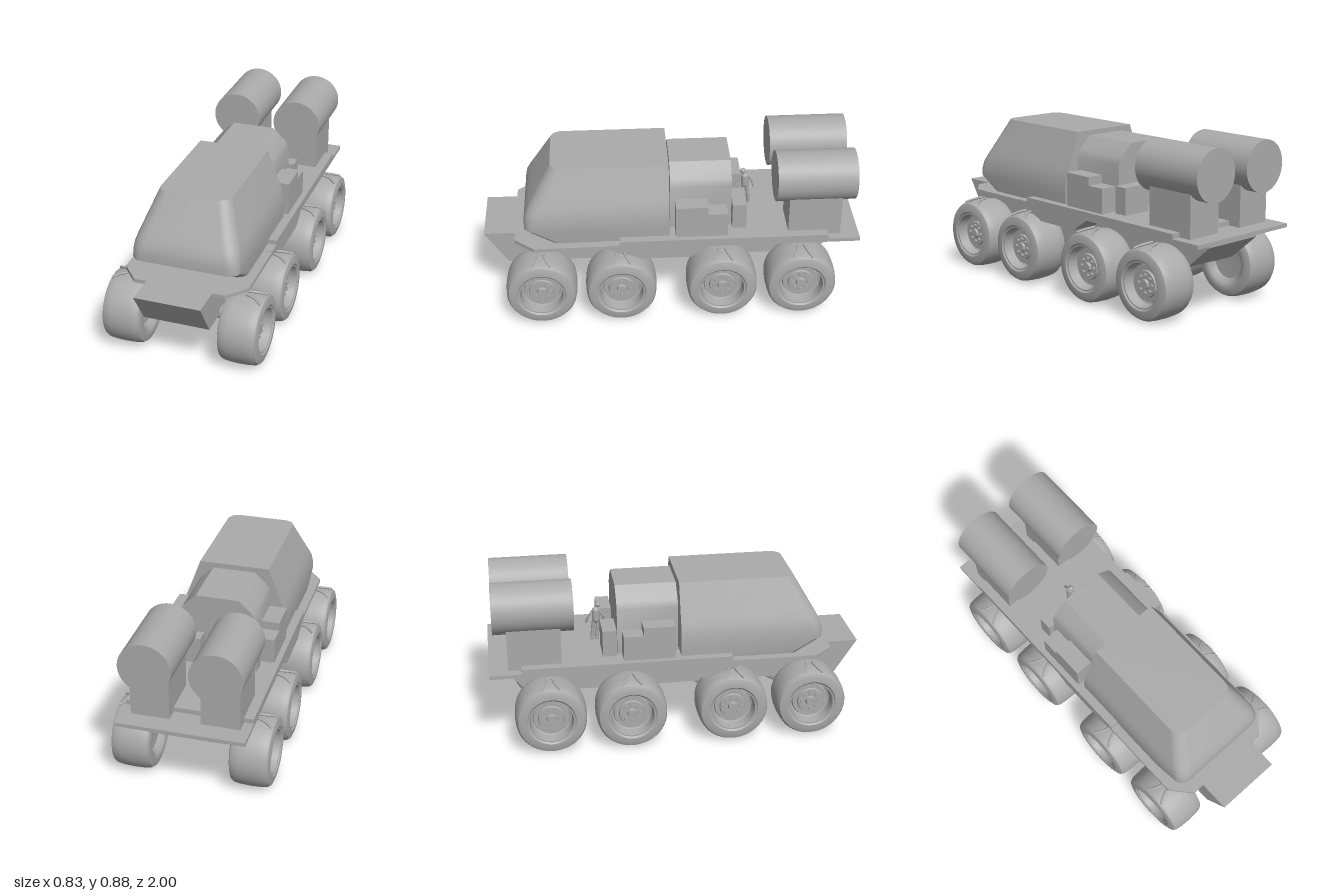
import * as THREE from 'three';
import { toCreasedNormals } from 'three/addons/utils/BufferGeometryUtils.js';

const grey = new THREE.MeshStandardMaterial({ color: 0xaaaaaa });
grey.name = 'hull grey';

export function createModel() {
  const model = new THREE.Group();
  model.name = 'eightWheeledRover';

  const add = (name, geometry, x = 0, y = 0, z = 0, parent = model) => {
    const mesh = new THREE.Mesh(geometry, grey);
    mesh.name = name;
    mesh.position.set(x, y, z);
    parent.add(mesh);
    return mesh;
  };
  // Box from its limits
  const box = (name, x0, x1, y0, y1, z0, z1) =>
    add(name, new THREE.BoxGeometry(x1 - x0, y1 - y0, z1 - z0), (x0 + x1) / 2, (y0 + y1) / 2, (z0 + z1) / 2);
  const extrude = (points, depth) => new THREE.ExtrudeGeometry(
    new THREE.Shape(points.map(p => new THREE.Vector2(...p))), { depth, bevelEnabled: false });
  // Side outline [z, y] extruded across the width
  const prismX = (name, points, half) =>
    add(name, extrude(points, 2 * half).rotateY(-Math.PI / 2).translate(half, 0, 0));
  const rod = (name, points, radius, parent = model) =>
    add(name, new THREE.TubeGeometry(new THREE.CatmullRomCurve3(points.map(p => new THREE.Vector3(...p))), 8, radius, 8), 0, 0, 0, parent);

  // Chassis with wedge bumper and sloping tail
  prismX('chassis', [[1, 0.445], [0.88, 0.26], [-0.78, 0.26], [-0.93, 0.39], [-0.93, 0.43], [0.82, 0.43], [0.83, 0.445]], 0.175);
  prismX('droppedFloor', [[0.36, 0.43], [0.19, 0.355], [-0.1, 0.355], [-0.21, 0.43], [-0.21, 0.447], [0.36, 0.447]], 0.325);

  // Decks
  const frontDeck = [[-0.33, -0.2], [0.33, -0.2], [0.33, 0.73], [0.24, 0.835], [-0.24, 0.835], [-0.33, 0.73]];
  add('frontDeck', extrude(frontDeck.map(([x, z]) => [x, -z]).reverse(), 0.02).rotateX(-Math.PI / 2), 0, 0.425, 0);
  box('rearDeck', -0.33, 0.33, 0.425, 0.445, -1, -0.15);
  box('upperDeck', -0.33, 0.33, 0.445, 0.47, -0.83, 0.28);

  // Cabin: stacked outlines with rounded front corners
  add('cabin', cabinGeometry([
    [0.445, 0.283, 0.655, 0.06], [0.52, 0.286, 0.78, 0.06], [0.56, 0.284, 0.78, 0.06], [0.6, 0.279, 0.772, 0.065],
    [0.64, 0.268, 0.752, 0.07], [0.68, 0.253, 0.729, 0.07], [0.85, 0.19, 0.63, 0.06]], 0.012));

  // Equipment module behind the cabin
  const section = [[0.205, 0.46], [0.205, 0.72], [0.187, 0.757], [0.115, 0.825]];
  const outline = [...section, ...section.map(([x, y]) => [-x, y]).reverse()];
  add('rearModule', toCreasedNormals(extrude(outline, 0.325), 0.5), 0, 0, -0.32);

  // Fuel tanks, pedestals and lockers on both sides
  for (const s of [-1, 1]) {
    const sideBox = (name, x0, x1, ...rest) => box(name, Math.min(s * x0, s * x1), Math.max(s * x0, s * x1), ...rest);
    sideBox('largeLocker', 0.2, 0.3, 0.46, 0.65, -0.19, -0.02);
    sideBox('smallLocker', 0.2, 0.3, 0.46, 0.605, -0.295, -0.19);
    sideBox('rearLocker', 0.07, 0.235, 0.46, 0.615, -0.4, -0.325);
    sideBox('tankPedestal', 0.08, 0.28, 0.44, 0.7, -0.9, -0.62);
    add('tank', new THREE.CylinderGeometry(0.135, 0.135, 0.42, 64).rotateX(Math.PI / 2), s * 0.178, 0.757, -0.76);
  }

  // Wheels
  const half = [[0.19, 0], [0.188, 0.05], [0.184, 0.082], [0.175, 0.097], [0.155, 0.104], [0.13, 0.105]];
  const profile = [[0, -0.065], [0.09, -0.07], [0.115, -0.1],
    ...half.slice(1).reverse().map(([r, a]) => [r, -a]), ...half,
    [0.122, 0.098], [0.115, 0.098], [0.108, 0.045], [0.098, 0.04], [0.094, 0.052], [0.07, 0.052],
    [0.066, 0.062], [0.026, 0.062], [0.022, 0.075], [0, 0.075]];
  const tireGeo = toCreasedNormals(new THREE.LatheGeometry(profile.map(p => new THREE.Vector2(...p)), 56).rotateZ(-Math.PI / 2), 0.6);
  const boltGeo = new THREE.CylinderGeometry(0.009, 0.009, 0.014, 10).rotateZ(-Math.PI / 2);
  for (const s of [-1, 1]) for (const z of [0.7, 0.275, -0.265, -0.69]) {
    const wheel = new THREE.Group();
    wheel.name = 'wheel';
    wheel.position.set(s * 0.31, 0.197, z);
    if (s < 0) wheel.rotation.y = Math.PI;
    model.add(wheel);
    add('tire', tireGeo, 0, 0, 0, wheel);
    for (let i = 0; i < 8; i++) {
      const a = i * Math.PI / 4;
      add('wheelBolt', boltGeo, 0.066, 0.046 * Math.cos(a), 0.046 * Math.sin(a), wheel);
    }
    // Forked strut over the wheel, and the axle
    for (const d of [-1, 1])
      rod('strut', [[0, 0.2, d * 0.015], [0.05, 0.194, d * 0.03], [0.09, 0.178, d * 0.055]], 0.007, wheel);
    add('axle', new THREE.CylinderGeometry(0.035, 0.035, 0.16, 20).rotateZ(Math.PI / 2), -0.125, 0.08 - 0.02, 0, wheel);
  }

  // Standing crew member
  const crew = new THREE.Group();
  crew.name = 'crewMember';
  crew.position.set(-0.008, 0.47, -0.415);
  model.add(crew);
  add('head', new THREE.SphereGeometry(0.015, 14, 10), 0, 0.204, 0.012, crew);
  add('torso', new THREE.CapsuleGeometry(0.02, 0.05, 6, 12), 0, 0.145, 0, crew);
  for (const d of [-1, 1]) {
    rod('leg', [[0, 0.12, d * 0.01], [0.004, 0.06, d * 0.013 - 0.004], [0, 0, d * 0.012 - 0.01]], 0.01, crew);
    rod('arm', [[0, 0.172, d * 0.016], [0, 0.135, d * 0.04], [0.01, 0.1, d * 0.052]], 0.006, crew);
  }
  return model;
}

// Rings of [height, half width, front z, corner radius], closed by a flat back
function cabinGeometry(rings, back) {
  const steps = 8, pos = [], index = [];
  for (const [y, w, f, r] of rings) {
    const right = [[w, back]];
    for (let i = 0; i <= steps; i++) {
      const a = i / steps * Math.PI / 2;
      right.push([w - r + r * Math.cos(a), f - r + r * Math.sin(a)]);
    }
    const ring = [...right, ...right.map(([x, z]) => [-x, z]).reverse()];
    for (const [x, z] of ring) pos.push(x, y, z);
  }
  const n = 2 * (steps + 2), top = (rings.length - 1) * n, centre = rings.length * n;
  pos.push(0, rings[0][0], 0.3, 0, rings[rings.length - 1][0], 0.3);
  for (let i = 0; i < n; i++) {
    const k = (i + 1) % n;
    for (let j = 0; j < rings.length - 1; j++) {
      const a = j * n + i, b = j * n + k;
      index.push(a, a + n, b, b, a + n, b + n);
    }
    index.push(centre, i, k, centre + 1, top + k, top + i);
  }
  const g = new THREE.BufferGeometry();
  g.setAttribute('position', new THREE.Float32BufferAttribute(pos, 3));
  g.setIndex(index);
  return toCreasedNormals(g, 0.45);
}
